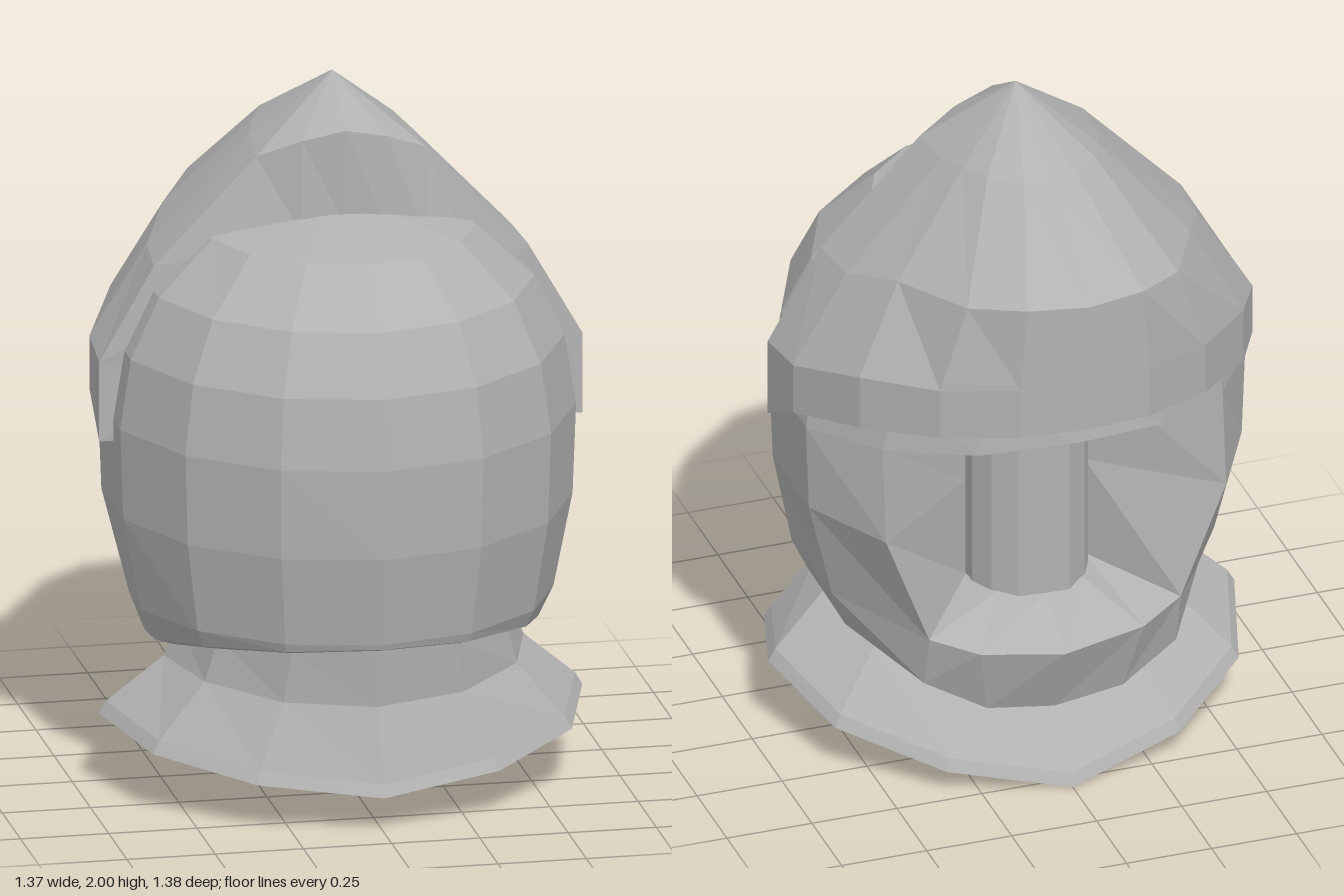
import * as THREE from 'three';

const steel = new THREE.MeshStandardMaterial({ color: 0xb2b2b2, flatShading: true, side: THREE.DoubleSide });
steel.name = 'grey steel';

// Half outline -> full symmetric outline (a point on the centre line is not doubled)
const mirror = (half) => [
  ...half.slice(half[0][0] === 0 ? 1 : 0).reverse().map(([x, y, z]) => [-x, y, z]), ...half];

// Skin a list of equally long half outlines, top row first;
// an outline that starts off the centre line leaves a gap there
function skin(name, halves, flip = false) {
  const rows = halves.map(mirror), pos = [];
  const gap = halves.at(-1)[0][0] === 0 ? -1 : halves[0].length - 1;
  const tri = (a, b, c) => pos.push(...a, ...(flip ? c : b), ...(flip ? b : c));
  for (let r = 0; r < rows.length - 1; r++) {
    for (let i = 0; i < rows[r].length - 1; i++) {
      if (i === gap) continue;
      const a = rows[r][i], b = rows[r + 1][i], c = rows[r + 1][i + 1], d = rows[r][i + 1];
      tri(a, b, c);
      tri(a, c, d);
    }
  }
  const g = new THREE.BufferGeometry();
  g.setAttribute('position', new THREE.Float32BufferAttribute(pos, 3));
  g.computeVertexNormals();
  const m = new THREE.Mesh(g, steel);
  m.name = name;
  return m;
}

// Point on an ellipse, angle 0 at +z
const around = (a, rx, rz, y, cz = 0) => [
  Math.abs(Math.sin(a)) < 1e-6 ? 0 : rx * Math.sin(a), y, cz + rz * Math.cos(a)];
// Copy of an outline pulled towards the vertical axis
const shrink = (row, s, dy = 0, cz = 0) => row.map(([x, y, z]) => [x * s, y + dy, cz + (z - cz) * s]);

export function createModel() {
  const model = new THREE.Group();
  model.name = 'helmet';
  const step = Math.PI / 7;

  // Edge of the face opening, from brow centre down the cheek to chin centre
  const rim = [[0, 1.12, -0.585], [0.27, 1.1, -0.53], [0.5, 1.08, -0.38], [0.5, 0.8, -0.41],
    [0.37, 0.46, -0.4], [0.24, 0.42, -0.46], [0, 0.39, -0.485]];

  // Skull dome, all the way round, narrower over the brow
  const narrow = [1, 1, 1, 1, 1, 0.94, 0.88, 0.85];
  const dome = [[0, 1, 1.66], [0.42, 0.91, 1.58], [0.58, 0.94, 1.43], [0.66, 0.955, 1.26], [0.688, 0.963, 1.06]]
    .map(([r, w, y]) => narrow.map((f, k) => around(k * step, r * f * w, r * f, y)));
  [rim[2], rim[1], rim[0]].forEach((p, i) => { dome[4][5 + i] = p; });
  model.add(skin('skullDome', dome));

  // Sides of the skull, open at the face, with an inturned lower edge
  const sideRow = (radii, ys, last) => [
    ...radii.map((r, k) => around(k * step, r * 0.96, r, ys[k])), last];
  const hem = sideRow([0.63, 0.625, 0.61, 0.58, 0.555], [0.525, 0.515, 0.49, 0.44, 0.39], [0.37, 0.3, -0.36]);
  const sides = [
    dome[4].slice(0, 6),
    sideRow(Array(5).fill(0.68), Array(5).fill(0.8), rim[3]),
    sideRow([0.635, 0.635, 0.635, 0.625, 0.6], [0.54, 0.54, 0.54, 0.53, 0.5], rim[4]),
    hem,
    shrink(hem, 0.9, -0.02, 0.05),
  ];
  model.add(skin('skullSides', sides));

  // Chin guard
  const chinHem = [[0, 0.18, -0.4], [0.2, 0.21, -0.4], hem[5]];
  model.add(skin('chinGuard', [[rim[6], rim[5], rim[4]], chinHem, shrink(chinHem, 0.85, 0.02)], true));

  // Recess running from the face opening back to the inner column
  const inner = [[0, 1.1, -0.325], [0.125, 1.1, -0.27], [0.175, 1.1, -0.15], [0.175, 0.8, -0.15],
    [0.175, 0.5, -0.15], [0.125, 0.5, -0.27], [0, 0.5, -0.325]];
  model.add(skin('faceRecess', [rim, inner], true));
  const column = new THREE.Mesh(new THREE.CylinderGeometry(0.175, 0.175, 0.66, 14), steel);
  column.name = 'innerColumn';
  column.position.set(0, 0.8, -0.15);
  model.add(column);

  // Raised visor: peak, sloping crown, shoulder, upright band and underside
  const lip = [[0, 1.88, 0.125], [0.12, 1.85, 0.1]];
  const crown = [[0.24, 1.8, 0.055], [0.23, 1.81, -0.1], [0.2, 1.83, -0.2], [0.16, 1.84, -0.29],
    [0.08, 1.84, -0.37], [0, 1.84, -0.4]];
  const shoulder = [[0.53, 1.5, 0.055], [0.515, 1.51, -0.12], [0.43, 1.57, -0.31], [0.31, 1.59, -0.55],
    [0.17, 1.61, -0.655], [0, 1.61, -0.69]];
  const outline = [[0.685, 0.055], [0.675, -0.13], [0.565, -0.37], [0.39, -0.55], [0.19, -0.655], [0, -0.69]];
  const level = (ys) => outline.map(([x, z], i) => [x, ys[i], z]);
  const band = level([1.23, 1.25, 1.32, 1.34, 1.36, 1.37]);
  const edge = level([1.0, 1.1, 1.16, 1.19, 1.21, 1.22]);
  model.add(skin('visorTop', [Array(8).fill([0, 2, -0.07]), [...lip, ...crown]]));
  model.add(skin('visorBand', [crown, shoulder, band, edge, shrink(edge, 0.86)]));
  model.add(skin('visorFront', [
    [...lip, crown[0], shoulder[0], band[0], edge[0]],
    [[0, 1.6, 0.12], [0.12, 1.58, 0.115], [0.24, 1.54, 0.1], [0.4, 1.38, 0.085], [0.52, 1.15, 0.065],
      [0.6, 1.0, 0.055]],
  ]));

  // Flared neck collar with a closed bottom
  const ring = (rx, rz, cz, ys) => ys.map((y, k) => around(k * Math.PI / 6, rx, rz, y, cz));
  const foot = ring(0.685, 0.6, 0.05, [0.1, 0.135, 0.175, 0.21, 0.14, 0.07, 0]);
  model.add(skin('neckCollar', [
    ring(0.47, 0.48, 0.1, [0.51, 0.5, 0.5, 0.48, 0.43, 0.35, 0.28]),
    ring(0.51, 0.475, 0.09, [0.34, 0.35, 0.37, 0.38, 0.32, 0.25, 0.19]),
    shrink(foot, 0.97, 0.035, 0.05),
    foot,
    Array(7).fill([0, 0.175, 0.04]),
  ]));

  return model;
}
